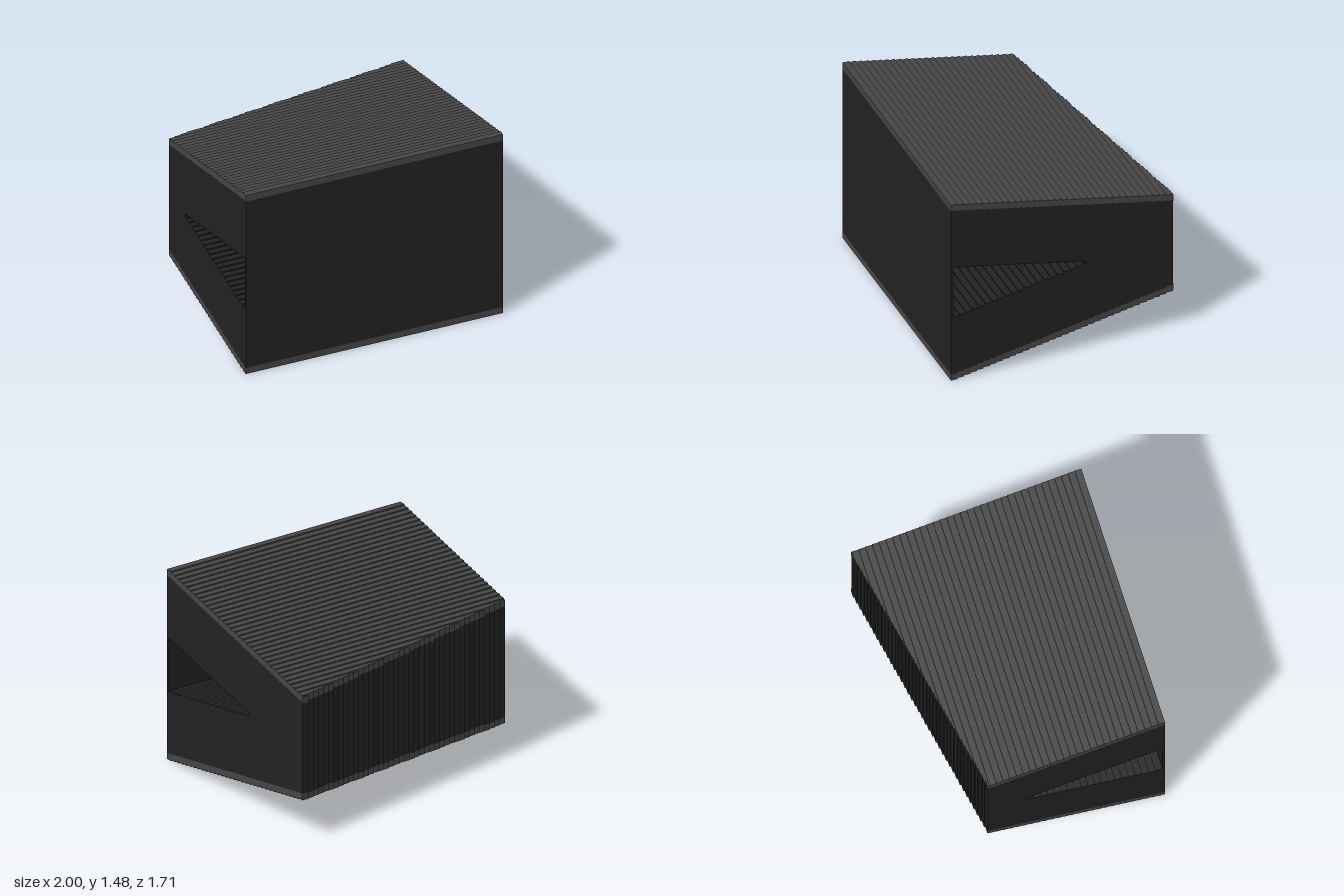
import * as THREE from 'three';
import { mergeGeometries } from 'three/addons/utils/BufferGeometryUtils.js';

const RUN = 0.05, RISE = 0.01;      // one stair of every sloped surface
const FRONT = 0.853, MID = 0.74;    // front plane, mid height
const HALF = 0.74, TRIM = 0.05;     // half height at the front, trim thickness
const COLUMNS = 40;

// Staircase in (u = -z, y) that narrows towards the mid height
function stairs(u0, u1, half, sign) {
  const pts = [];
  for (let k = 0; u0 + k * RUN < u1 - 1e-6; k++) {
    const y = MID + sign * (half - k * RISE);
    pts.push(new THREE.Vector2(u0 + k * RUN, y));
    pts.push(new THREE.Vector2(Math.min(u0 + (k + 1) * RUN, u1), y));
  }
  return pts;
}

// Closed outline between two staircases
const between = (lower, upper) => [...lower, ...upper.reverse()];

// One slice of a part, extruded sideways
function slice(points, hole, x, width) {
  const shape = new THREE.Shape(points);
  if (hole) shape.holes.push(new THREE.Path(hole));
  const g = new THREE.ExtrudeGeometry(shape, { depth: width, bevelEnabled: false });
  g.rotateY(Math.PI / 2);
  g.translate(x, 0, 0);
  return g;
}

export function createModel() {
  const model = new THREE.Group();
  const dark = new THREE.MeshStandardMaterial({ color: 0x222222 });
  dark.name = 'dark body';
  const grey = new THREE.MeshStandardMaterial({ color: 0x464646 });
  grey.name = 'grey trim';

  const body = [], roof = [], floor = [];
  const width = 2 / COLUMNS;
  for (let i = 0; i < COLUMNS; i++) {
    // each slice reaches a little further back than the last
    const x = -1 + i * width;
    const back = 0.46 + i * RISE;
    const inner = HALF - TRIM;
    const plateBack = back + 0.003;

    // wedge-shaped tunnel running from side to side behind the front wall
    const tunnel = between(stairs(-0.835, 0.18, 0.208, -1), stairs(-0.835, 0.18, 0.208, 1));
    body.push(slice(between(stairs(-FRONT, back, inner, -1), stairs(-FRONT, back, inner, 1)), tunnel, x, width));
    roof.push(slice(between(stairs(-FRONT, plateBack, inner, 1), stairs(-FRONT, plateBack, HALF, 1)), null, x, width));
    floor.push(slice(between(stairs(-FRONT, plateBack, HALF, -1), stairs(-FRONT, plateBack, inner, -1)), null, x, width));
  }

  const add = (name, parts, material) => {
    const mesh = new THREE.Mesh(mergeGeometries(parts), material);
    mesh.geometry.clearGroups();
    mesh.name = name;
    model.add(mesh);
  };
  add('body', body, dark);
  add('roofPlate', roof, grey);
  add('floorPlate', floor, grey);
  return model;
}
